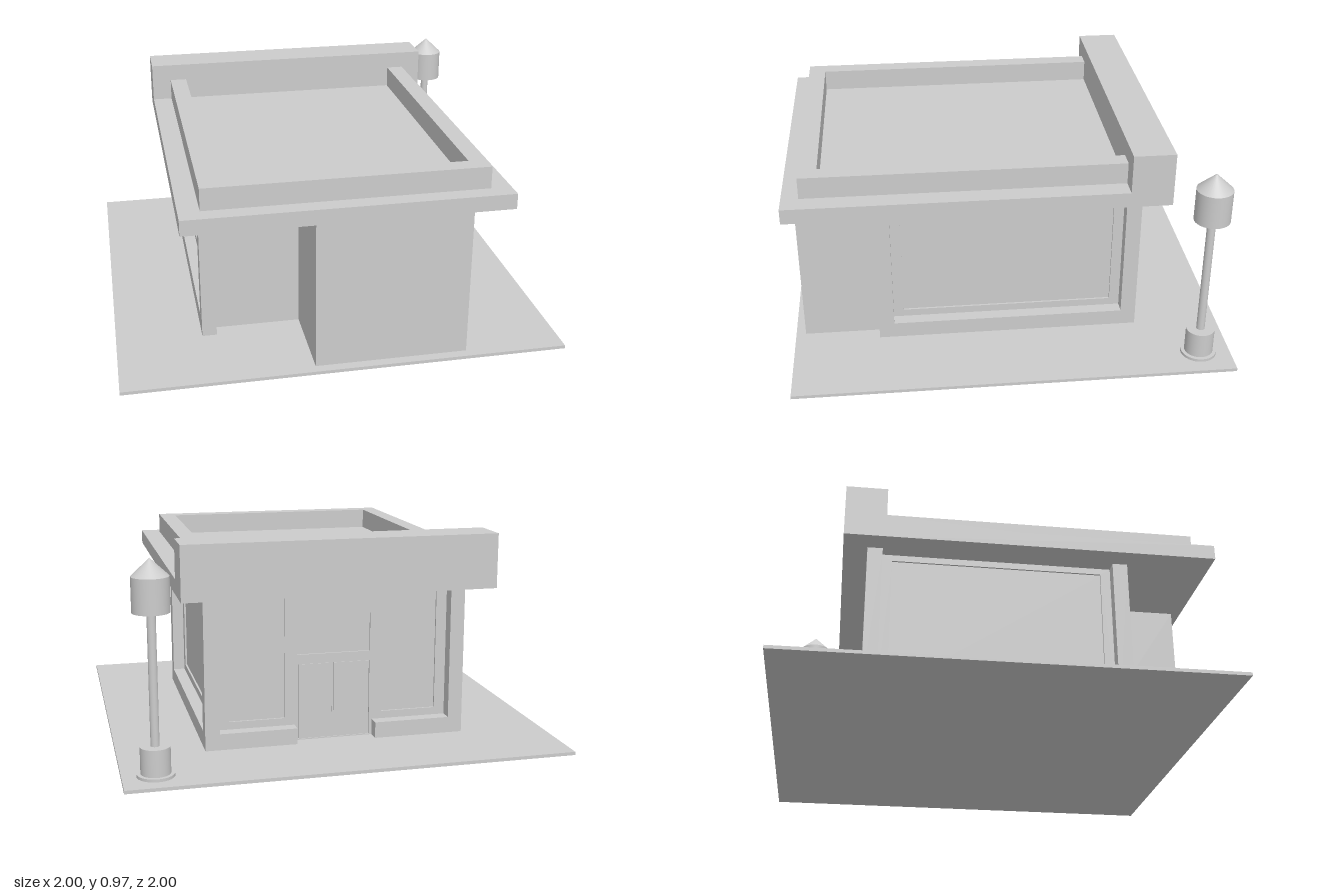
import * as THREE from 'three';

export function createModel() {
  const model = new THREE.Group();
  const grey = new THREE.MeshStandardMaterial({ color: 0xcccccc });
  grey.name = 'plain grey';

  const add = (name, geometry, parent = model) => {
    const mesh = new THREE.Mesh(geometry, grey);
    mesh.name = name;
    parent.add(mesh);
    return mesh;
  };
  // Box given by its low and high corners
  const box = (name, x0, x1, y0, y1, z0, z1, parent) => {
    const mesh = add(name, new THREE.BoxGeometry(x1 - x0, y1 - y0, z1 - z0), parent);
    mesh.position.set((x0 + x1) / 2, (y0 + y1) / 2, (z0 + z1) / 2);
    return mesh;
  };
  // Rectangle outline, u0..u1 by v0..v1
  const rect = (Type, u0, u1, v0, v1) => new Type([
    [u0, v0], [u1, v0], [u1, v1], [u0, v1],
  ].map(([u, v]) => new THREE.Vector2(u, v)));
  // Thin wall facing +z with rectangular openings
  const wallPlate = (width, holes) => {
    const shape = rect(THREE.Shape, -width / 2, width / 2, 0.015, 0.72);
    holes.forEach(h => shape.holes.push(rect(THREE.Path, ...h)));
    return new THREE.ExtrudeGeometry(shape, { depth: 0.009, bevelEnabled: false });
  };

  // Ground plate
  box('groundPlate', -1, 1, 0, 0.015, -1, 1);

  // Building core; its faces serve as glass behind the wall plates
  box('buildingCore', -0.541, 0.541, 0.015, 0.72, -0.541, 0.541);
  box('frontRoom', -0.145, 0.545, 0.015, 0.72, 0.5, 0.955);

  // Corner posts and side walls
  for (const side of [-1, 1]) {
    for (const end of [-1, 1]) {
      const post = add('cornerPost', new THREE.BoxGeometry(0.067, 0.705, 0.07));
      post.position.set(side * 0.574, 0.3675, end * 0.572);
    }
    const wall = add('sideWindowWall', wallPlate(1.08, [[-0.49, 0.49, 0.125, 0.69]]));
    wall.rotation.y = side * Math.PI / 2;
    wall.position.x = side * 0.541;
    const sill = add('sideSill', new THREE.BoxGeometry(0.067, 0.075, 1.08));
    sill.position.set(side * 0.574, 0.0525, 0);

    // Low sill beside the entrance
    const low = add('entranceSill', new THREE.BoxGeometry(0.36, 0.075, 0.067));
    low.position.set(side * 0.365, 0.0525, -0.5735);
  }

  // Entrance wall with display windows, transom and double door
  const entrance = add('entranceWall', wallPlate(1.08, [
    [-0.49, -0.23, 0.125, 0.69], [0.23, 0.49, 0.125, 0.69],
    [-0.172, 0.172, 0.42, 0.6], [-0.17, 0.17, 0.02, 0.375],
  ]));
  entrance.rotation.y = Math.PI;
  entrance.position.z = -0.541;
  for (const side of [-1, 1]) {
    const x = side * 0.084;
    box('doorLeaf', x - 0.082, x + 0.082, 0.02, 0.373, -0.546, -0.54);
  }
  box('doorHandle', 0.005, 0.011, 0.14, 0.17, -0.552, -0.545);

  // Roof slab, parapet rim and tall fascia over the entrance
  box('roofSlab', -0.715, 0.715, 0.72, 0.79, -0.53, 1);
  box('entranceFascia', -0.715, 0.715, 0.72, 0.97, -0.717, -0.527);
  const rim = rect(THREE.Shape, -0.623, 0.623, -0.922, 0.53);
  rim.holes.push(rect(THREE.Path, -0.543, 0.543, -0.84, 0.529));
  const parapet = add('roofParapet', new THREE.ExtrudeGeometry(rim, { depth: 0.1, bevelEnabled: false }));
  parapet.rotation.x = -Math.PI / 2;
  parapet.position.y = 0.79;

  // Street lamp
  const lamp = new THREE.Group();
  lamp.name = 'streetLamp';
  lamp.position.set(0.855, 0, -0.855);
  model.add(lamp);
  [
    ['lampFoot', 0.082, 0.082, 0.015, 0.028],
    ['lampPedestal', 0.065, 0.065, 0.028, 0.147],
    ['lampPole', 0.019, 0.019, 0.147, 0.72],
    ['lampHead', 0.08, 0.08, 0.72, 0.87],
    ['lampCap', 0, 0.08, 0.87, 0.945],
  ].forEach(([name, top, bottom, y0, y1]) => {
    add(name, new THREE.CylinderGeometry(top, bottom, y1 - y0, 32), lamp).position.y = (y0 + y1) / 2;
  });

  return model;
}
